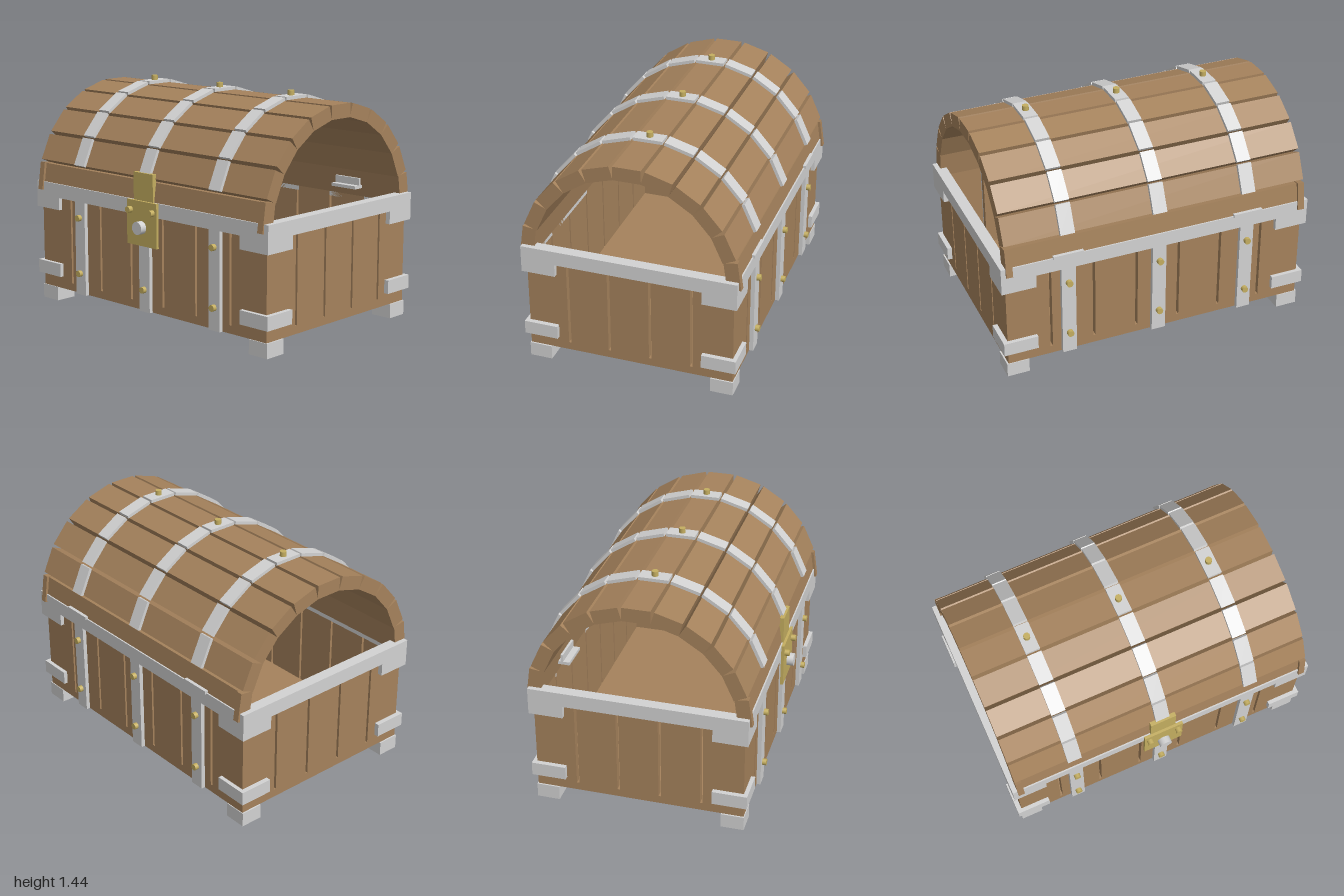
import * as THREE from 'three';

export function createModel() {
  const chest = new THREE.Group();
  chest.name = 'chest';
  const material = (name, color) => {
    const m = new THREE.MeshStandardMaterial({ color });
    m.name = name;
    return m;
  };
  const wood = material('wood', 0xa5825c);
  const steel = material('steel', 0xd2d2d2);
  const brass = material('brass', 0xc4ae60);

  const CZ = -0.015;              // middle of the body in z
  const HX = 0.97, HZ = 0.64;     // half size of the wooden body
  const OX = 1.0, OZ = 0.665;     // half size over the metal fittings
  const strapX = [-0.585, 0, 0.585];

  // Box given by its limits along each axis
  function box(name, mat, x0, x1, y0, y1, z0, z1, parent = chest) {
    const mesh = new THREE.Mesh(
      new THREE.BoxGeometry(Math.abs(x1 - x0), Math.abs(y1 - y0), Math.abs(z1 - z0)), mat);
    mesh.position.set((x0 + x1) / 2, (y0 + y1) / 2, (z0 + z1) / 2);
    mesh.name = name;
    parent.add(mesh);
    return mesh;
  }

  // Round stud pointing along z
  function stud(name, mat, x, y, z0, z1, r) {
    const mesh = new THREE.Mesh(
      new THREE.CylinderGeometry(r, r, Math.abs(z1 - z0), 20).rotateX(Math.PI / 2), mat);
    mesh.position.set(x, y, (z0 + z1) / 2);
    mesh.name = name;
    chest.add(mesh);
  }

  // Floor and upright wall boards with narrow gaps
  box('floor', wood, -HX, HX, 0.09, 0.14, CZ - HZ, CZ + HZ);
  const gap = 0.016, wall = 0.04;
  function boards(count, half, place) {
    const w = 2 * half / count;
    for (let i = 0; i < count; i++) {
      const a = -half + i * w + (i > 0 ? gap / 2 : 0);
      const b = -half + (i + 1) * w - (i < count - 1 ? gap / 2 : 0);
      place(a, b);
    }
  }
  for (const s of [-1, 1]) {
    boards(7, HX, (a, b) =>
      box('wallBoard', wood, a, b, 0.09, 0.75, CZ + s * (HZ - wall), CZ + s * HZ));
    boards(5, HZ, (a, b) =>
      box('endBoard', wood, s * (HX - wall), s * HX, 0.09, 0.75, CZ + a, CZ + b));
  }

  // Metal rim
  for (const s of [-1, 1]) {
    box('rimLong', steel, -OX, OX, 0.69, 0.78, CZ + s * (OZ - 0.065), CZ + s * OZ);
    box('rimEnd', steel, s * (OX - 0.07), s * OX, 0.69, 0.78,
      CZ - OZ + 0.065, CZ + OZ - 0.065);
  }

  // Corner brackets and feet
  for (const sx of [-1, 1]) for (const sz of [-1, 1]) {
    for (const [y0, y1] of [[0.17, 0.255], [0.61, 0.69]]) {
      box('cornerBracketFace', steel, sx * 0.785, sx * OX, y0, y1,
        CZ + sz * HZ, CZ + sz * OZ);
      box('cornerBracketEnd', steel, sx * HX, sx * OX, y0, y1,
        CZ + sz * 0.453, CZ + sz * HZ);
    }
    box('foot', steel, sx * 0.84, sx * 0.98, 0, 0.09, CZ + sz * 0.505, CZ + sz * 0.645);
  }

  // Upright straps with studs
  for (const x of strapX) for (const s of [-1, 1]) {
    box('bodyStrap', steel, x - 0.045, x + 0.045, 0.09, 0.69, CZ + s * HZ, CZ + s * OZ);
    for (const y of [0.23, 0.59]) {
      if (x === 0 && s > 0 && y > 0.5) continue; // under the lock
      stud('strapStud', brass, x, y, CZ + s * OZ, CZ + s * 0.69, 0.02);
    }
  }

  // Arched lid of eleven planks
  const R = 0.67, thick = 0.08, plankW = 0.17, count = 11, CY = 0.72;
  const lid = new THREE.Group();
  lid.name = 'lid';
  lid.position.set(0, CY, CZ);
  chest.add(lid);
  for (let i = 0; i < count; i++) {
    const angle = (i + 0.5) * Math.PI / count;
    const slot = new THREE.Group();
    slot.name = 'lidSection';
    slot.rotation.x = Math.PI / 2 - angle; // local +y points outward
    lid.add(slot);
    const half = plankW / 2;
    if (i === 0 || i === count - 1) {
      // Lowest planks sit slightly inside their end cleats
      box('lidPlank', wood, -0.93, 0.93, R - thick, R - 0.012, -half, half, slot);
      for (const s of [-1, 1]) {
        box('lidCleat', wood, s * 0.93, s * HX, R - thick, R + 0.004,
          -half - 0.004, half + 0.004, slot);
      }
    } else {
      box('lidPlank', wood, -HX, HX, R - thick - 0.005, R, -half, half, slot);
      for (const x of strapX) {
        box('lidStrap', steel, x - 0.045, x + 0.045, R, R + 0.02, -0.091, 0.091, slot);
      }
    }
  }
  for (const x of strapX) {
    const mesh = new THREE.Mesh(new THREE.CylinderGeometry(0.02, 0.02, 0.03, 20), brass);
    mesh.position.set(x, R + 0.035, 0);
    mesh.name = 'lidStud';
    lid.add(mesh);
  }

  // Hinges at the back
  for (const x of [-0.585, 0.585]) {
    box('hingeLeaf', steel, x - 0.095, x + 0.095, 0.775, 0.795, -0.69, -0.53);
    box('hingeUpright', steel, x - 0.095, x + 0.095, 0.78, 0.84, -0.585, -0.57);
  }

  // Lock plate, hasp and knob
  box('lockPlate', brass, -0.128, 0.128, 0.505, 0.78, 0.65, 0.668);
  box('hasp', brass, -0.083, 0.083, 0.77, 0.95, 0.625, 0.652);
  for (const s of [-1, 1]) stud('lockStud', brass, s * 0.095, 0.72, 0.665, 0.697, 0.02);
  stud('lockKnob', steel, 0, 0.62, 0.66, 0.71, 0.04);

  return chest;
}
